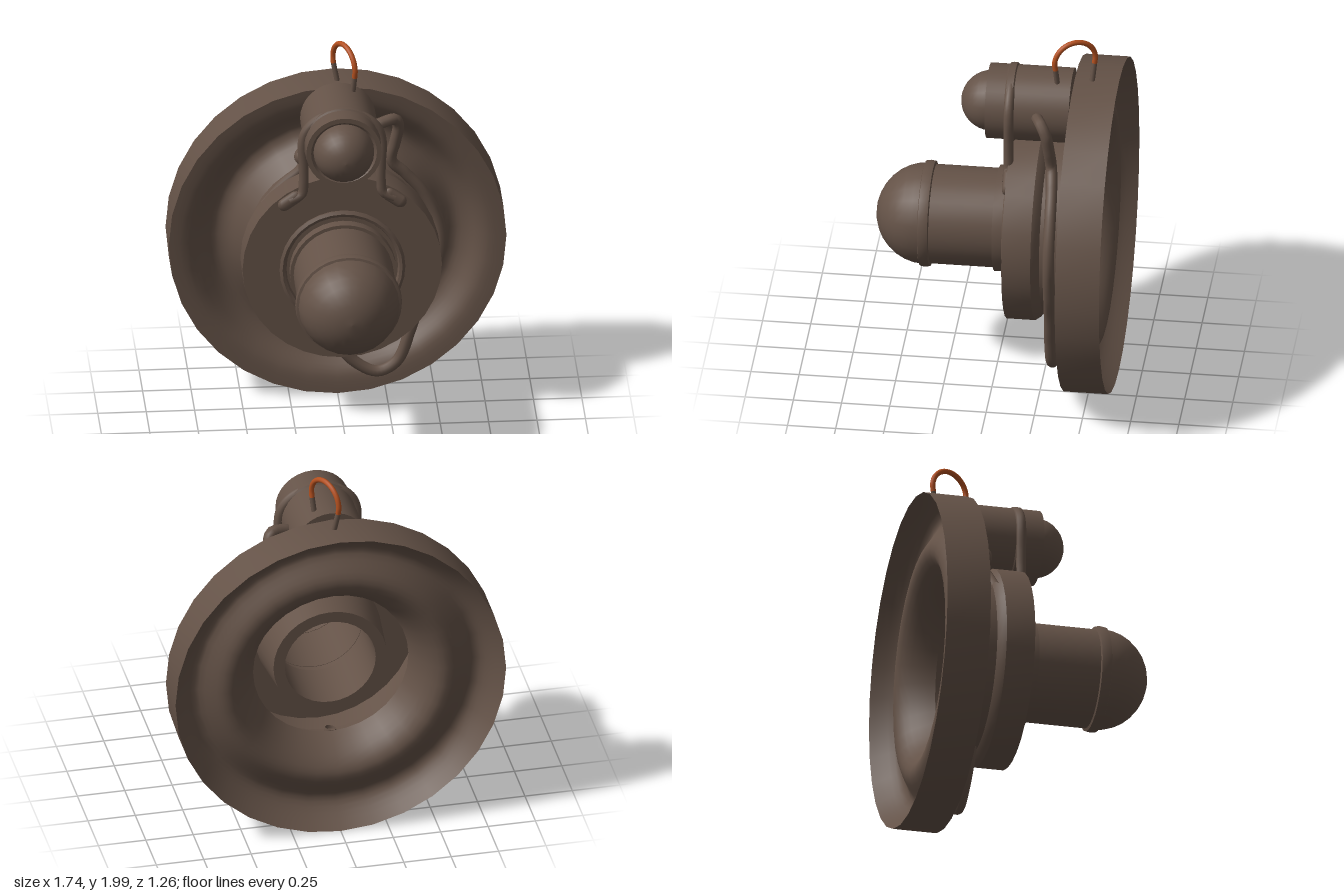
import * as THREE from 'three';
import { toCreasedNormals } from 'three/addons/utils/BufferGeometryUtils.js';

const CY = 0.877; // height of the main axis
const LY = 1.586; // height of the small upper lamp axis

export function createModel() {
  const model = new THREE.Group();
  const brown = new THREE.MeshStandardMaterial({ color: 0x645247, side: THREE.DoubleSide });
  brown.name = 'brown';
  const orange = new THREE.MeshStandardMaterial({ color: 0xb4501f, side: THREE.DoubleSide });
  orange.name = 'copper orange';

  const add = (name, geometry, material = brown) => {
    const mesh = new THREE.Mesh(geometry, material);
    mesh.name = name;
    model.add(mesh);
    return mesh;
  };

  // Turned part around a z axis at height y; profile is [radius, z] pairs
  const turn = (name, y, profile, { sides = 32, smooth = false } = {}) => {
    let g = new THREE.LatheGeometry(profile.map(([r, z]) => new THREE.Vector2(r, z)), sides);
    if (!smooth) g = toCreasedNormals(g, 0.7);
    g.rotateX(Math.PI / 2);
    g.translate(0, y, 0);
    return add(name, g);
  };

  // Smooth curve through a few [radius, z] points
  const soften = (pts, n = 20) => new THREE.SplineCurve(pts.map((p) => new THREE.Vector2(...p)))
    .getPoints(n).map((v) => [v.x, v.y]);

  // Bent round wire through points
  const wire = (name, pts, radius, material = brown, segments = 40) => {
    const curve = new THREE.CatmullRomCurve3(pts.map((p) => new THREE.Vector3(...p)), false, 'centripetal');
    return add(name, new THREE.TubeGeometry(curve, segments, radius, 10), material);
  };

  const dome = (r, z0, length, n = 8) => Array.from({ length: n + 1 }, (_, i) => {
    const a = (i / n) * Math.PI / 2;
    return [Math.max(0, r * Math.cos(a)), z0 + length * Math.sin(a)];
  });

  // Large pressed dish: rim, grooved front, and back with a rounded ring ridge
  turn('dishRim', CY, [[0.872, -0.63], [0.872, -0.4]]);
  turn('dishFront', CY, soften([
    [0.47, -0.4], [0.51, -0.45], [0.56, -0.505], [0.62, -0.525], [0.68, -0.495],
    [0.735, -0.44], [0.79, -0.41], [0.872, -0.4]]).reverse(), { smooth: true });
  turn('dishBack', CY, soften([
    [0.872, -0.63], [0.83, -0.565], [0.78, -0.51], [0.73, -0.495], [0.67, -0.53], [0.61, -0.565],
    [0.55, -0.565], [0.49, -0.52], [0.44, -0.45], [0.41, -0.39]]), { smooth: true });

  // Hollow central housing
  turn('housingRear', CY, [[0.41, -0.39], [0.47, -0.4], [0.47, -0.27], [0.5, -0.25], [0.515, -0.23]]);
  turn('housingFront', CY, [[0.515, -0.23], [0.515, -0.08], [0.26, -0.08]]);
  turn('innerCollar', CY, [[0.33, -0.09], [0.3, -0.38], [0.24, -0.38], [0.24, -0.06]]);

  // Main barrel with flange, bands and domed lens
  turn('barrelFlange', CY, [[0.322, -0.08], [0.325, -0.065], [0.31, -0.055], [0.295, -0.06], [0.288, -0.08]]);
  turn('barrelRearBand', CY, [[0.26, -0.06], [0.275, -0.055], [0.275, 0], [0.255, 0]]);
  turn('barrel', CY, [[0.257, -0.08], [0.257, 0.335]]);
  turn('barrelFrontBand', CY, [
    [0.255, 0.33], [0.272, 0.335], [0.276, 0.36], [0.272, 0.385], [0.255, 0.39]]);
  turn('barrelDome', CY, dome(0.262, 0.37, 0.257), { sides: 24, smooth: true });

  // Small upper lamp
  turn('upperLampBody', LY, [[0, -0.39], [0.195, -0.39], [0.195, 0.045], [0.17, 0.045], [0.155, 0.03]]);
  turn('upperLampDome', LY, dome(0.157, 0.03, 0.158), { sides: 24, smooth: true });
  turn('lampBand', LY, [[0.19, -0.105], [0.203, -0.095], [0.203, -0.06], [0.19, -0.05]]);

  // Bracket strap wrapped over the lamp, with flattened splayed feet
  const leg = [[-0.27, 1.265, -0.08], [-0.21, 1.3, -0.08], [-0.2, 1.36, -0.08], [-0.2, 1.46, -0.08]];
  const path = [...leg];
  for (let i = 0; i <= 8; i++) {
    const a = Math.PI * (1 - i / 8);
    path.push([0.205 * Math.cos(a), LY + 0.17 * Math.sin(a), -0.08]);
  }
  path.push(...leg.map(([x, y, z]) => [-x, y, z]).reverse());
  wire('lampBracket', path, 0.026, brown, 72);
  for (const s of [-1, 1]) {
    const foot = add('bracketFoot', new THREE.CapsuleGeometry(0.035, 0.07, 4, 10));
    foot.position.set(0.27 * s, 1.263, -0.078);
    foot.rotation.z = s * 0.95;
    foot.scale.z = 0.6;
  }

  // Side arm hugging the housing
  wire('sideArm', [[-0.16, 1.45, -0.28], [-0.2, 1.35, -0.28], [-0.29, 1.27, -0.28], [-0.39, 1.16, -0.26]], 0.026, brown, 16);
  const armRoot = add('sideArmRoot', new THREE.SphereGeometry(0.05, 12, 8));
  armRoot.position.set(-0.185, 1.42, -0.28);

  // Loose cable from the lamp down around the housing
  wire('cable', [
    [0.16, 1.6, -0.22], [0.22, 1.62, -0.235], [0.285, 1.625, -0.26], [0.305, 1.58, -0.285], [0.29, 1.48, -0.3],
    [0.27, 1.37, -0.31], [0.34, 1.29, -0.32], [0.44, 1.17, -0.325], [0.51, 1.02, -0.325],
    [0.525, 0.88, -0.325], [0.49, 0.72, -0.325], [0.42, 0.56, -0.32], [0.37, 0.4, -0.315],
    [0.3, 0.22, -0.315], [0.2, 0.165, -0.315], [0.08, 0.225, -0.315], [0, 0.33, -0.31], [-0.02, 0.43, -0.3],
  ], 0.03, brown, 100);

  // Copper wire loop on top, with dull ends
  const loop = [];
  for (let i = 0; i <= 10; i++) {
    const a = -0.3 + (i / 10) * (Math.PI + 0.6);
    loop.push([0.033 + 0.05 * Math.cos(a), 1.876 + 0.11 * Math.sin(a), -0.405 + 0.1 * Math.cos(a)]);
  }
  wire('wireLoop', loop, 0.014, orange);
  wire('wireEnd', [[0.07, 1.74, -0.32], loop[0]], 0.014, brown, 4);
  wire('wireEnd', [[0.005, 1.74, -0.49], loop[10]], 0.014, brown, 4);

  return model;
}
